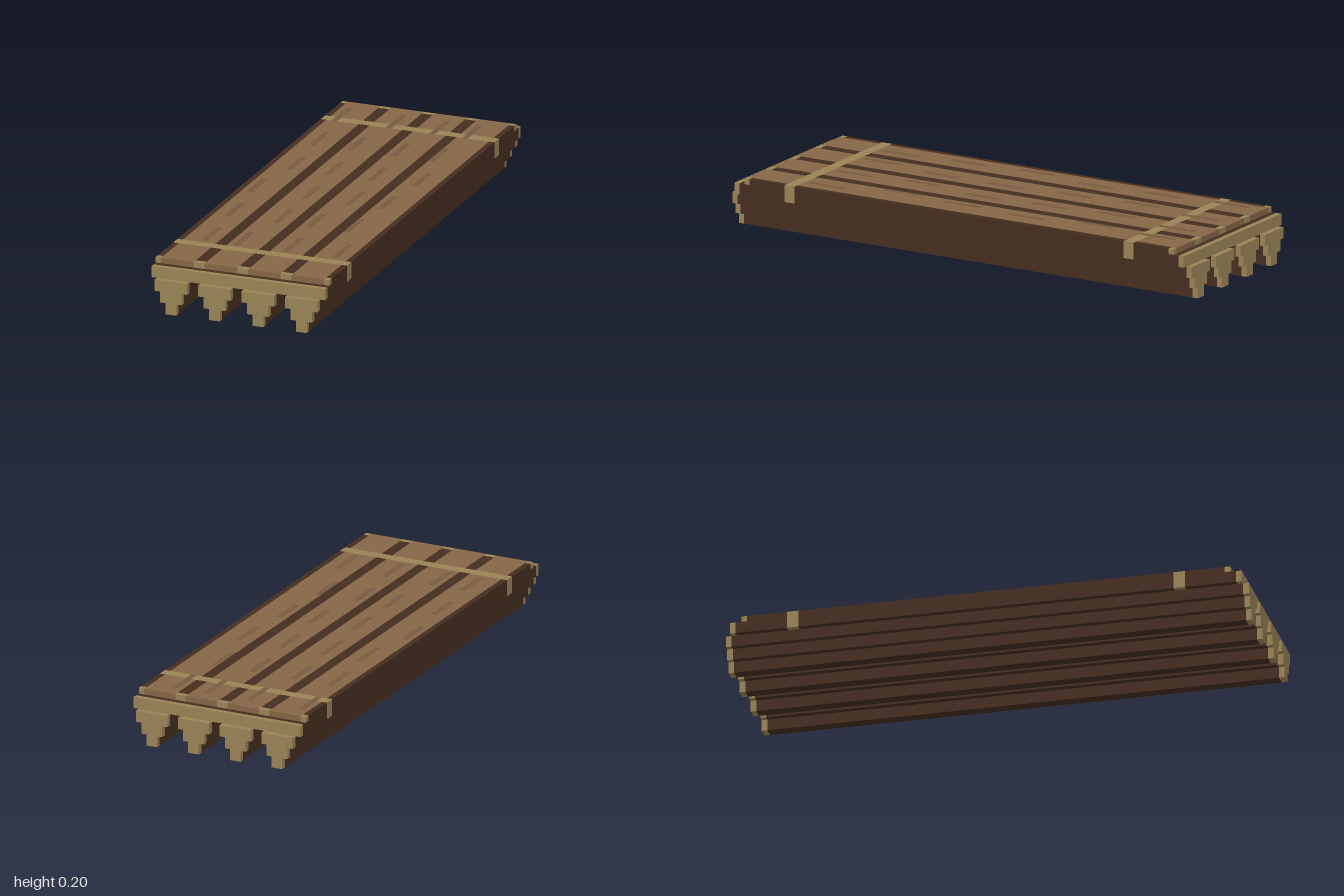
import * as THREE from 'three';

const U = 2 / 92; // one block unit; the model is 32 x 9 x 92 blocks

const material = (color) => new THREE.MeshStandardMaterial({ color, flatShading: true });

export function createModel() {
  const model = new THREE.Group();
  model.name = 'plankRaft';
  const plankMat = material(0x856546);
  const grainMat = material(0x785a3f);
  const darkMat = material(0x452d1f);
  const trimMat = material(0x998356);

  const add = (name, geometry, mat) => {
    const mesh = new THREE.Mesh(geometry, mat);
    mesh.name = name;
    model.add(mesh);
    return mesh;
  };
  // Box given by its block limits
  const block = (name, mat, x0, x1, y0, y1, z0, z1) => {
    const mesh = add(name, new THREE.BoxGeometry((x1 - x0) * U, (y1 - y0) * U, (z1 - z0) * U), mat);
    mesh.position.set((x0 + x1) / 2 * U, (y0 + y1) / 2 * U, (z0 + z1) / 2 * U);
  };

  // Stepped keel cross-section
  const keelShape = new THREE.Shape([
    [-1, 0], [1, 0], [1, 2], [2, 2], [2, 4], [3, 4], [3, 6],
    [-3, 6], [-3, 4], [-2, 4], [-2, 2], [-1, 2],
  ].map(([x, y]) => new THREE.Vector2(x * U, y * U)));
  const keel = (name, mat, x, z0, z1) => {
    const geometry = new THREE.ExtrudeGeometry(keelShape, { depth: (z1 - z0) * U, bevelEnabled: false });
    add(name, geometry, mat).position.set(x * U, 0, z0 * U);
  };

  const centres = [-12, -4, 4, 12];
  const gaps = [[-16, -15], [-9, -7], [-1, 1], [7, 9], [15, 16]];
  const spans = [[-43, -35], [-33, 33], [35, 43]]; // plank lengths between the bands

  // Keels with pale end caps
  for (const x of centres) {
    keel('keel', darkMat, x, -45, 45);
    keel('keelEndCap', trimMat, x, -46, -45);
    keel('keelEndCap', trimMat, x, 45, 46);
  }

  // Deck core with side rails interrupted by the bands
  block('deckCore', darkMat, -15, 15, 6, 8, -44, 44);
  for (const x of [-16, 15]) {
    for (const [z0, z1] of [[-44, -35], [-33, 33], [35, 44]]) {
      block('sideRail', darkMat, x, x + 1, 6, 8, z0, z1);
    }
  }

  // End boards and cross bands
  for (const z of [-45, 44]) block('endBoard', trimMat, -16, 16, 6, 8, z, z + 1);
  for (const z of [-35, 33]) {
    block('crossBand', trimMat, -16, 16, 8, 9, z, z + 2);
    for (const x of [-16, 15]) block('bandEnd', trimMat, x, x + 1, 6, 8, z, z + 2);
  }

  // Top planks
  for (const x of centres) {
    for (const [z0, z1] of spans) block('plank', plankMat, x - 3, x + 3, 8, 9, z0, z1);
  }

  // Dark seams between planks, with pale tips
  for (const [x0, x1] of gaps) {
    for (const [z0, z1] of spans) {
      block('seam', darkMat, x0, x1, 8, 9, Math.max(z0, -42), Math.min(z1, 42));
    }
    for (const z of [-43, 42]) block('seamTip', trimMat, x0, x1, 8, 9, z, z + 1);
  }

  // Wood grain streaks: one row of x positions for each step along the deck
  const grain = [
    [-14, -4, 4, 10], [-13, -6, 2, 9], [-12, -5, 3, 11],
    [-14, -4, 4, 10], [-13, -4, 2, 9], [-12, -6, 3, 12],
  ];
  grain.forEach((row, i) => {
    const z = -40 + 13 * i;
    for (const x of row) block('grainStreak', grainMat, x, x + 1, 8.9, 9.03, z, z + 7);
  });

  return model;
}
